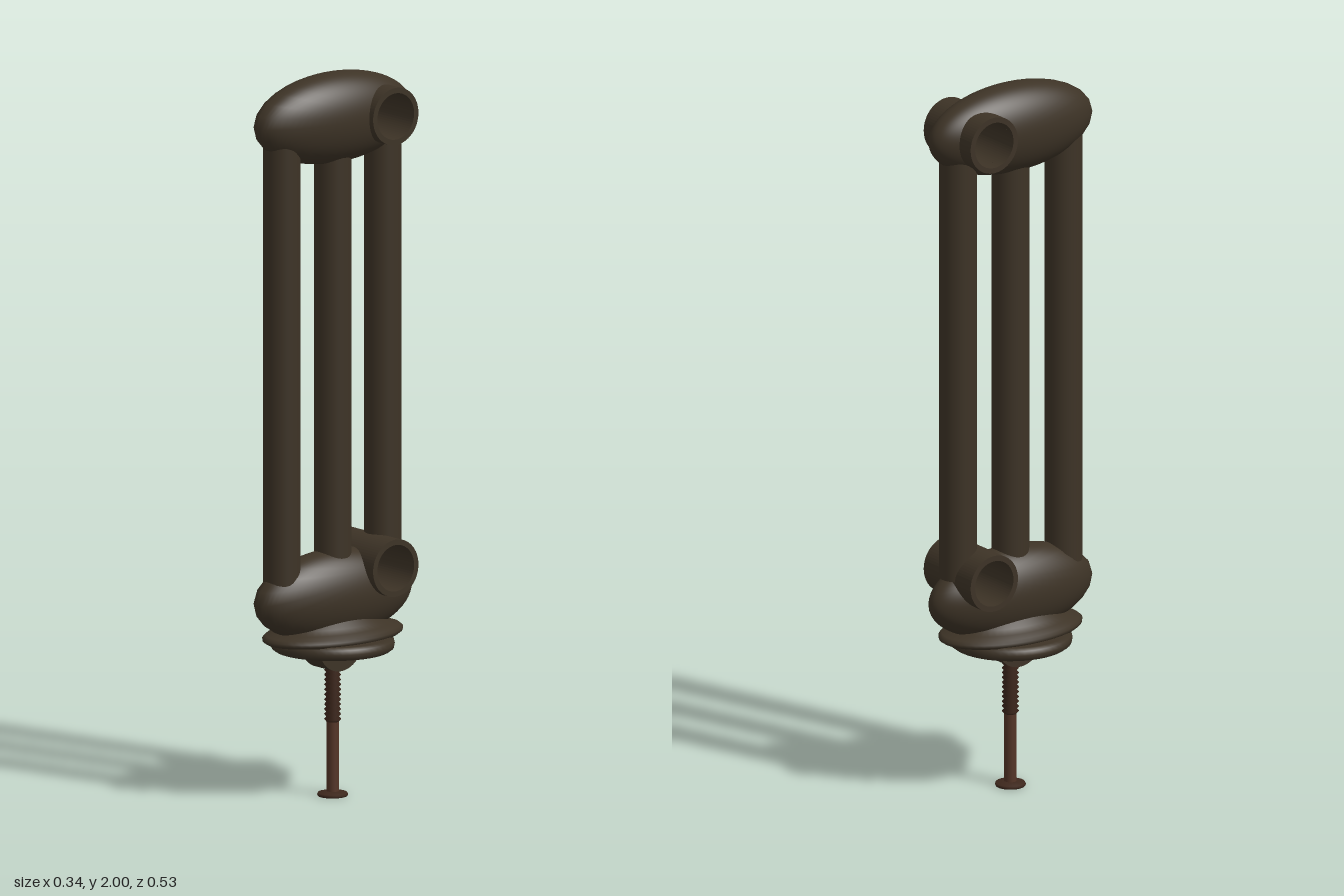
import * as THREE from 'three';
import { mergeVertices } from 'three/addons/utils/BufferGeometryUtils.js';

const HOLE_Z = -0.132, HOLE_R = 0.064, RING_R = 0.079;
const TOP = { y: 1.875, hole: 1.876 }, BOTTOM = { y: 0.558, hole: 0.628 };

function material(name, color) {
  const m = new THREE.MeshStandardMaterial({ color });
  m.name = name;
  return m;
}

// Flattened ellipsoid pierced sideways by a round hole: two domes spun around the hole
function piercedBody({ y: cy, hole }) {
  const A = 72, N = 18, pos = [], idx = [];
  const inside = (z, y) => 1 - (z / 0.265) ** 2 - ((y - cy) / 0.125) ** 2;
  for (const side of [1, -1]) {
    const base = pos.length / 3;
    for (let i = 0; i < A; i++) {
      const a = (i / A) * Math.PI * 2, c = Math.cos(a), s = Math.sin(a);
      const at = r => inside(HOLE_Z + r * c, hole + r * s);
      let lo = HOLE_R, hi = 0.6;
      if (at(lo) > 0) {
        for (let k = 0; k < 40; k++) {
          const mid = (lo + hi) / 2;
          if (at(mid) > 0) lo = mid; else hi = mid;
        }
      }
      for (let j = 0; j <= N; j++) {
        const r = HOLE_R + (lo - HOLE_R) * Math.sin((j / N) * Math.PI / 2);
        const x = j === N ? 0 : 0.094 * Math.sqrt(Math.max(0, at(r)));
        pos.push(side * x, hole + r * s, HOLE_Z + r * c);
        if (j < N) {
          const p = base + i * (N + 1) + j, q = base + ((i + 1) % A) * (N + 1) + j;
          if (side > 0) idx.push(p, q, p + 1, q, q + 1, p + 1);
          else idx.push(p, p + 1, q, q, p + 1, q + 1);
        }
      }
    }
  }
  const g = new THREE.BufferGeometry();
  g.setAttribute('position', new THREE.Float32BufferAttribute(pos, 3));
  g.setIndex(idx);
  const merged = mergeVertices(g, 1e-5);
  merged.computeVertexNormals();
  return merged;
}

// Open tube lying along x
function sideRing() {
  const shape = new THREE.Shape().absarc(0, 0, RING_R, 0, Math.PI * 2);
  shape.holes.push(new THREE.Path().absarc(0, 0, HOLE_R, 0, Math.PI * 2, true));
  const g = new THREE.ExtrudeGeometry(shape, { depth: 0.216, bevelEnabled: false, curveSegments: 32 });
  return g.translate(0, 0, -0.108).rotateY(Math.PI / 2);
}

// Upright rod whose ends are optionally coped around the side rings
function rod(z, coped) {
  const g = new THREE.CylinderGeometry(0.051, 0.051, 1, 32, 1, true);
  const p = g.attributes.position;
  for (let i = 0; i < p.count; i++) {
    const up = p.getY(i) > 0, pz = p.getZ(i) + z;
    const cope = Math.sqrt(Math.max(0, 0.07 ** 2 - (pz - HOLE_Z) ** 2));
    let y = up ? 1.86 : 0.56;
    if (coped) y = up ? TOP.hole - cope : BOTTOM.hole + cope;
    p.setXYZ(i, p.getX(i), y, pz);
  }
  g.computeBoundingSphere();
  return g;
}

function lathe(points, segments = 48) {
  return new THREE.LatheGeometry(points.map(([r, y]) => new THREE.Vector2(r, y)), segments);
}

export function createModel() {
  const model = new THREE.Group();
  const bronze = material('dark bronze', 0x3d3326);
  bronze.side = THREE.DoubleSide;
  const rust = material('rusty brown', 0x543527);
  const darkRust = material('dark rust', 0x3d271c);
  const add = (name, geometry, mat = bronze, parent = model) => {
    const mesh = new THREE.Mesh(geometry, mat);
    mesh.name = name;
    parent.add(mesh);
    return mesh;
  };

  // End bodies with their side rings
  for (const [name, end] of [['top', TOP], ['bottom', BOTTOM]]) {
    add(name + 'Body', piercedBody(end));
    add(name + 'Ring', sideRing()).position.set(0, end.hole, HOLE_Z);
  }

  // Three parallel rods
  add('frontRod', rod(0.177, false));
  add('middleRod', rod(0, false));
  add('rearRod', rod(-0.175, true));

  // Oval flared foot under the lower body
  add('flaredFoot', lathe([
    [0, 0.438], [0.128, 0.438], [0.134, 0.444], [0.135, 0.452], [0.129, 0.46],
    [0.112, 0.468], [0.096, 0.48], [0.082, 0.497], [0.062, 0.51], [0, 0.515],
  ])).scale.z = 1.63;

  // Round base plate, hollow underneath
  add('basePlate', lathe([
    [0, 0.428], [0.14, 0.428], [0.144, 0.408], [0.158, 0.405], [0.166, 0.411],
    [0.168, 0.422], [0.165, 0.434], [0.155, 0.441], [0, 0.441],
  ]));

  // Spokes in the hollow
  const spokes = new THREE.Group();
  spokes.name = 'baseSpokes';
  model.add(spokes);
  for (let i = 0; i < 8; i++) {
    const spoke = new THREE.BoxGeometry(0.13, 0.02, 0.014).translate(0.078, 0.42, 0);
    add('spoke', spoke.rotateY((i * Math.PI) / 4), bronze, spokes);
  }

  // Half-round lug holding the screw
  const half = new THREE.Shape();
  half.absarc(0, 0, 0.076, Math.PI, Math.PI * 2);
  half.closePath();
  const lug = new THREE.ExtrudeGeometry(half, { depth: 0.08, bevelEnabled: false, curveSegments: 24 });
  add('screwLug', lug.translate(0, 0, -0.045).rotateY(Math.PI / 2)).position.y = 0.425;

  // Screw with threads and a flat foot
  add('screwShank', new THREE.CylinderGeometry(0.017, 0.017, 0.36, 24).translate(0, 0.185, 0), rust);
  const thread = [];
  for (let i = 0; i <= 24; i++) thread.push([i % 2 ? 0.023 : 0.017, 0.205 + i * 0.0068]);
  add('screwThread', lathe(thread, 24), darkRust);
  add('screwFoot', lathe([
    [0, 0], [0.04, 0], [0.042, 0.004], [0.04, 0.009], [0.02, 0.013], [0, 0.014],
  ], 32), darkRust);

  return model;
}
